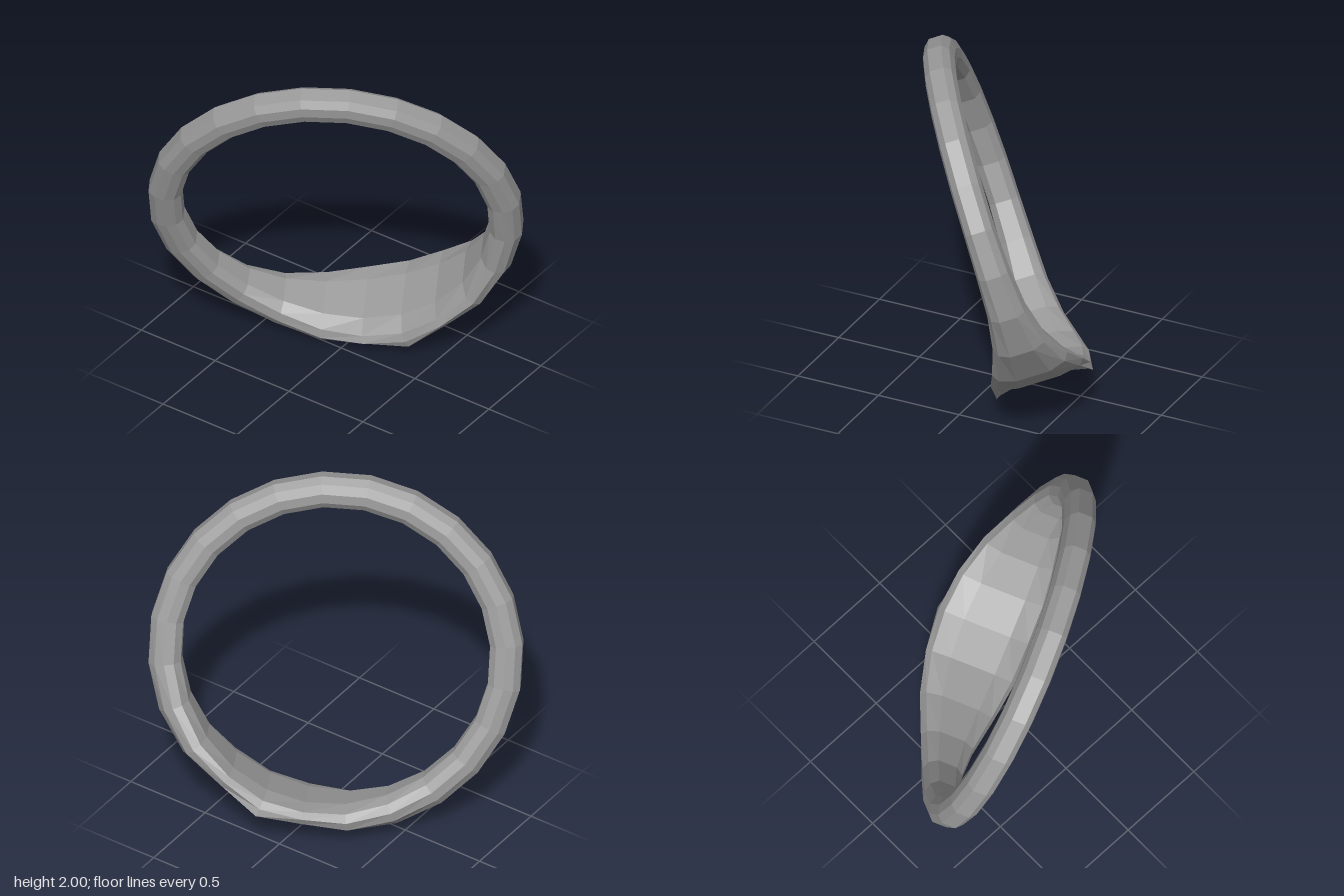
import * as THREE from 'three';

const V = (x, y, z) => new THREE.Vector3(x, y, z);

// Tilted frame of the ring: axis, direction to the signet, tangent
const axis = V(0.825, 0.303, -0.478).normalize();
const head = V(0.445, -0.87, 0.217);
head.addScaledVector(axis, -head.dot(axis)).normalize();
const tangent = axis.clone().cross(head);
const centre = V(-0.05, 1, 0);

const INNER = 0.86;
const STEPS = 24;
// Half width, outer radius and shoulder width at every 15 degrees from the signet
const HALF_WIDTH = [0.28, 0.268, 0.22, 0.155, 0.113, 0.097, 0.09];
const OUTER = [1.01, 0.975, 1.02, 1.035, 1.04, 1.04, 1.04];
const SHOULDER = [1, 0.9, 0.87, 0.85, 0.85, 0.85, 0.85];
// Cross-section: fraction of half width, fraction of thickness
const SECTION = [
  [0.5, 0], [-0.5, 0], [-0.9, 0.2], [-1, 0.5], [-1, 0.8],
  [-0.45, 1], [0.45, 1], [1, 0.8], [1, 0.5], [0.9, 0.2],
];

function ringPoint(angle, radius, across) {
  return centre.clone()
    .addScaledVector(head, radius * Math.cos(angle))
    .addScaledVector(tangent, radius * Math.sin(angle))
    .addScaledVector(axis, across);
}

function sectionPoint(step, index) {
  const s = (step + STEPS) % STEPS;
  const k = index % SECTION.length;
  const away = Math.min(s, STEPS - s, 6);
  const [u, f] = SECTION[k];
  const narrowing = k === 4 || k === 7 ? SHOULDER[away] : 1;
  const radius = INNER + f * (OUTER[away] - INNER);
  return ringPoint((s / STEPS) * Math.PI * 2, radius, u * narrowing * HALF_WIDTH[away]);
}

function meshFrom(points, material, name) {
  const geometry = new THREE.BufferGeometry().setFromPoints(points);
  geometry.computeVertexNormals();
  const mesh = new THREE.Mesh(geometry, material);
  mesh.name = name;
  return mesh;
}

export function createModel() {
  const group = new THREE.Group();
  group.name = 'signetRing';
  const metal = new THREE.MeshStandardMaterial({ color: 0x999999, flatShading: true });
  metal.name = 'grey metal';

  // Band, left open where the signet face sits
  const band = [];
  for (let i = 0; i < STEPS; i++) {
    for (let k = 0; k < SECTION.length; k++) {
      const atFace = (i === 0 || i === STEPS - 1) && k >= 4 && k <= 6;
      if (atFace) continue;
      const a = sectionPoint(i, k), b = sectionPoint(i, k + 1);
      const c = sectionPoint(i + 1, k), d = sectionPoint(i + 1, k + 1);
      band.push(a, c, d, a, d, b);
    }
  }
  group.add(meshFrom(band, metal, 'band'));

  // Signet face: narrow rim, then facets falling to a sunken middle
  const outline = [
    [-1, 4], [-1, 5], [-1, 6], [-1, 7], [0, 7],
    [1, 7], [1, 6], [1, 5], [1, 4], [0, 4],
  ].map(([s, k]) => sectionPoint(s, k));
  const middle = ringPoint(0, 0.91, 0);
  const lip = outline.map((p) => p.clone().lerp(middle, 0.08).addScaledVector(head, -0.008));
  const rim = [], facets = [];
  outline.forEach((p, i) => {
    const j = (i + 1) % outline.length;
    rim.push(p, lip[i], outline[j], outline[j], lip[i], lip[j]);
    facets.push(middle, lip[j], lip[i]);
  });
  group.add(meshFrom(rim, metal, 'signetRim'));
  group.add(meshFrom(facets, metal, 'signetFacets'));
  return group;
}
